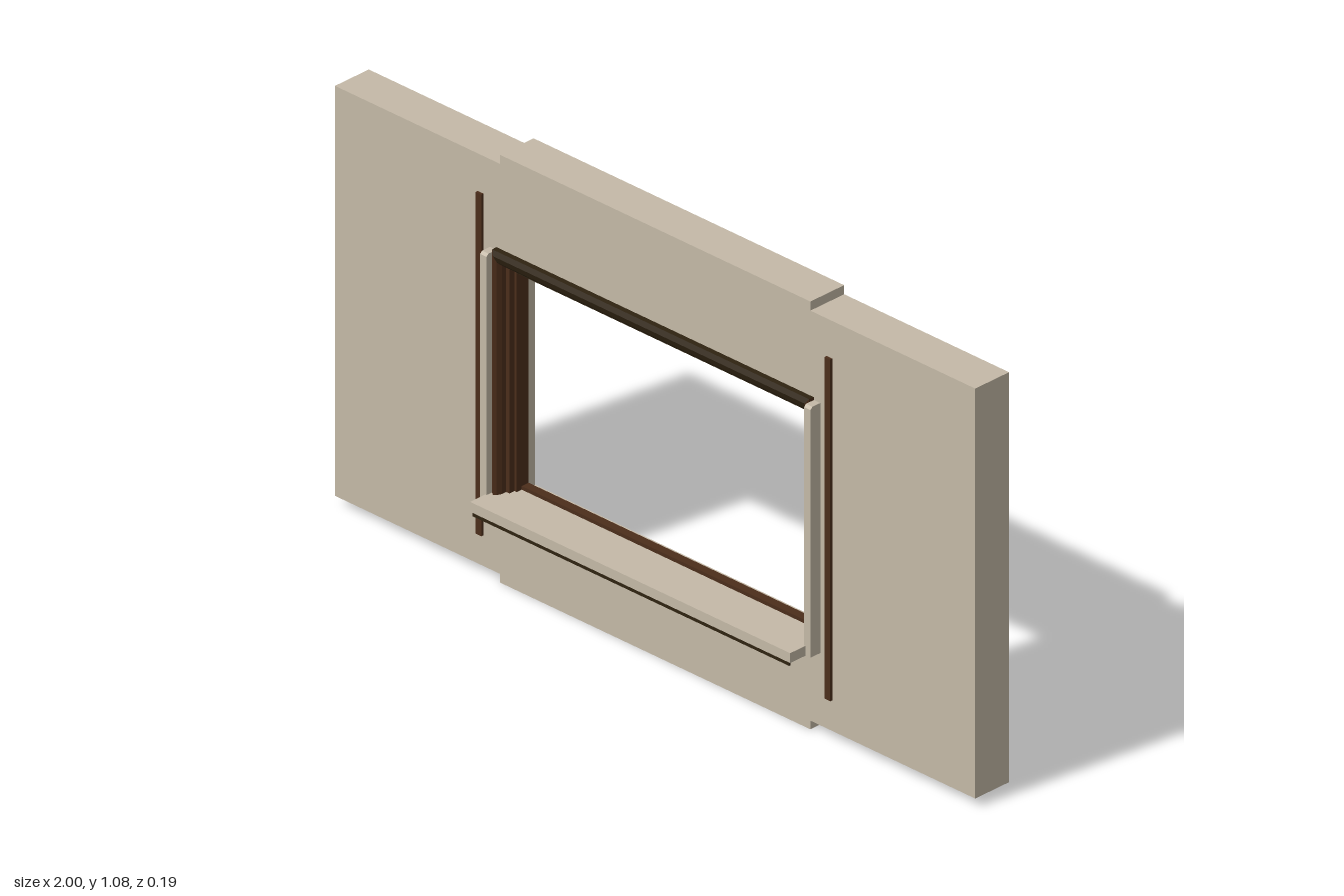
import * as THREE from 'three';

const mat = (name, color, side = THREE.FrontSide) => {
  const m = new THREE.MeshStandardMaterial({ color, side });
  m.name = name;
  return m;
};

export function createModel() {
  const stone = mat('beige stone', 0xc4b9a7);
  const brown = mat('brown wood', 0x4c2e1b, THREE.DoubleSide);
  const dark = mat('dark wood', 0x2f2311, THREE.DoubleSide);
  const model = new THREE.Group();
  model.name = 'windowWall';

  const add = (name, geometry, material) => {
    const mesh = new THREE.Mesh(geometry, material);
    mesh.name = name;
    model.add(mesh);
    return mesh;
  };
  // Box given by its limits on each axis
  const box = (name, material, [x0, x1], [y0, y1], [z0, z1]) => {
    const mesh = add(name, new THREE.BoxGeometry(x1 - x0, y1 - y0, z1 - z0), material);
    mesh.position.set((x0 + x1) / 2, (y0 + y1) / 2, (z0 + z1) / 2);
  };
  const polygon = (points) => points.map(([x, y]) => new THREE.Vector2(x, y));

  // Wall panel with a taller middle and a window opening
  const wall = new THREE.Shape(polygon([
    [-1, 0.022], [-0.485, 0.022], [-0.485, 0], [0.485, 0], [0.485, 0.022], [1, 0.022],
    [1, 1.06], [0.485, 1.06], [0.485, 1.083], [-0.485, 1.083], [-0.485, 1.06], [-1, 1.06],
  ]));
  wall.holes.push(new THREE.Path(polygon([
    [-0.48, 0.208], [-0.48, 0.83], [0.48, 0.83], [0.48, 0.208],
  ])));
  const wallGeometry = new THREE.ExtrudeGeometry(wall, { depth: 0.107, bevelEnabled: false });
  wallGeometry.translate(0, 0, -0.093);
  add('wall', wallGeometry, stone);

  // Moulded frame profile: [jamb x, head y, z]
  const profile = [
    [0.458, 0.783, -0.05], [0.458, 0.783, -0.012], [0.465, 0.797, -0.012],
    [0.465, 0.797, 0.004], [0.475, 0.808, 0.004], [0.475, 0.808, 0.018],
    [0.48, 0.818, 0.029], [0.487, 0.833, 0.034], [0.495, 0.845, 0.028],
    [0.496, 0.845, 0.014], [0.48, 0.83, 0.014], [0.48, 0.83, -0.05],
  ];
  // Mitred bar between two copies of the profile
  const bar = (name, material, start, end) => {
    const a = profile.map(start), b = profile.map(end), positions = [];
    a.forEach((p, i) => {
      const j = (i + 1) % a.length;
      positions.push(...p, ...a[j], ...b[j], ...p, ...b[j], ...b[i]);
    });
    const geometry = new THREE.BufferGeometry();
    geometry.setAttribute('position', new THREE.Float32BufferAttribute(positions, 3));
    geometry.computeVertexNormals();
    add(name, geometry, material);
  };
  const foot = (s) => ([x, , z]) => [s * x, 0.21, z];
  const corner = (s) => ([x, y, z]) => [s * x, y, z];
  bar('leftJamb', brown, foot(1), corner(1));
  bar('frameHead', dark, corner(1), corner(-1));
  bar('rightJamb', brown, corner(-1), foot(-1));
  box('bottomRail', brown, [-0.479, 0.479], [0.209, 0.238], [-0.05, -0.028]);

  // Sill: inner part in the opening, outer ledge and drip edge
  box('innerSill', stone, [-0.479, 0.479], [0.209, 0.229], [-0.028, 0.014]);
  box('outerSill', stone, [-0.5, 0.5], [0.204, 0.229], [0.014, 0.093]);
  box('dripEdge', dark, [-0.495, 0.495], [0.194, 0.204], [0.087, 0.091]);

  // Side trims with a chamfered top, and slim wall strips
  for (const s of [1, -1]) {
    const side = s > 0 ? 'left' : 'right';
    const range = (a, b) => (s > 0 ? [a, b] : [-b, -a]);
    const trim = new THREE.ExtrudeGeometry(new THREE.Shape(polygon([
      [-0.014, 0.205], [-0.014, 0.838], [-0.039, 0.838], [-0.045, 0.832], [-0.045, 0.205],
    ])), { depth: 0.02, bevelEnabled: false });
    trim.rotateY(Math.PI / 2);
    trim.translate(s > 0 ? 0.496 : -0.516, 0, 0);
    add(side + 'Trim', trim, stone);
    box(side + 'Strip', brown, range(0.536, 0.554), [0.1, 0.965], [0.014, 0.021]);
  }
  return model;
}
